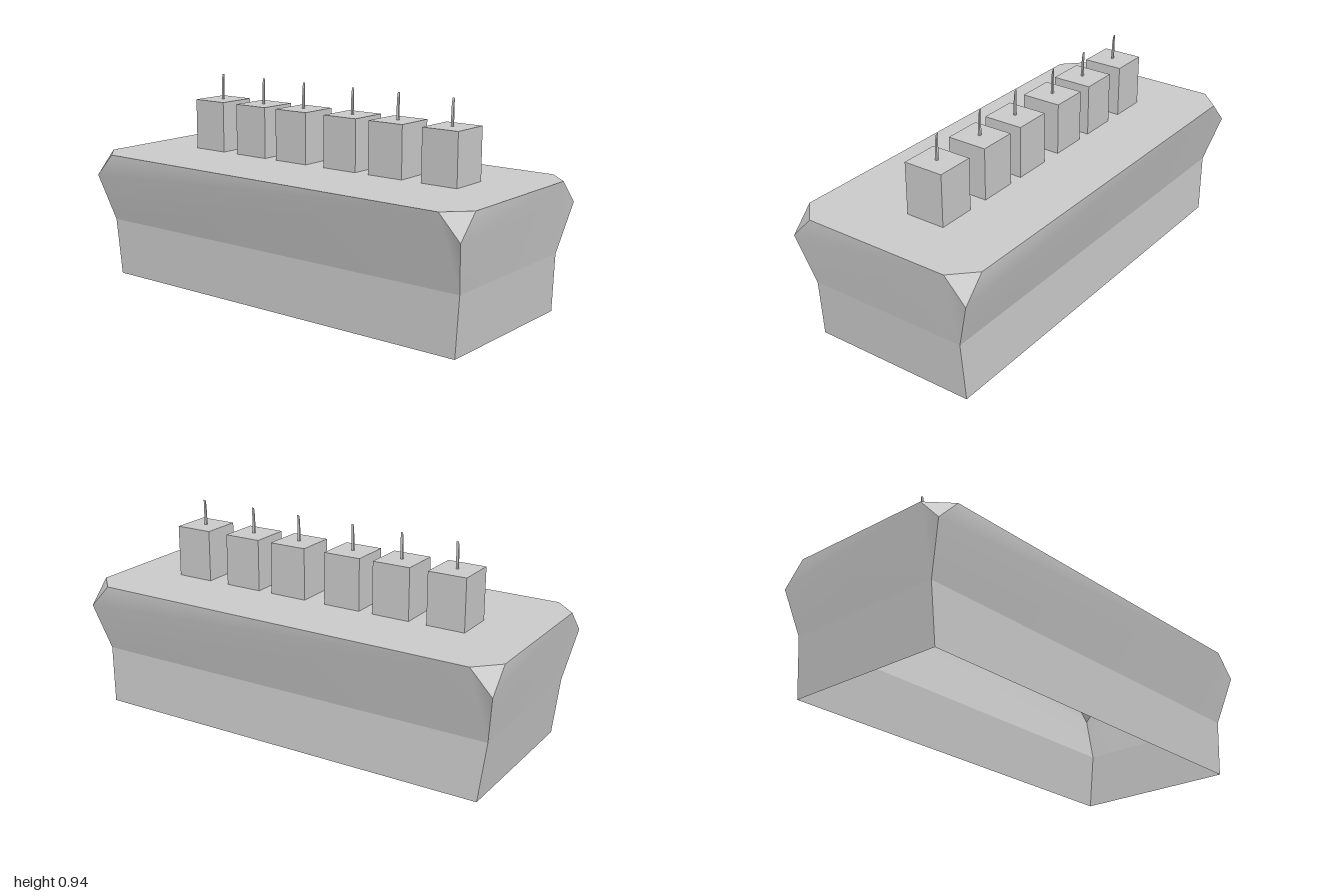
import * as THREE from 'three';

const material = new THREE.MeshStandardMaterial({ color: 0xcccccc, side: THREE.DoubleSide });

// A panel with its own vertices: smooth inside, sharp against its neighbours.
function panel(name, corners) {
  const geometry = new THREE.BufferGeometry();
  geometry.setAttribute('position', new THREE.Float32BufferAttribute(corners.flat(), 3));
  const index = [];
  for (let i = 1; i < corners.length - 1; i++) index.push(0, i, i + 1);
  geometry.setIndex(index);
  geometry.computeVertexNormals();
  const mesh = new THREE.Mesh(geometry, material);
  mesh.name = name;
  return mesh;
}

// Four corners, counter-clockwise seen from above, starting at front left of the page.
const ring = (y, x0, x1, z0, z1) => [[x0, y, z1], [x1, y, z1], [x1, y, z0], [x0, y, z0]];

// Hollow base: open underneath, pinched waist, flared top with cut corners.
function createBase() {
  const base = new THREE.Group();
  base.name = 'base';
  const foot = ring(0, -0.375, 0.388, -0.93, 0.945);
  const waist = ring(0.26, -0.375, 0.375, -0.96, 0.96);
  const rim = ring(0.48, -0.442, 0.442, -1, 1);
  const top = ring(0.585, -0.442, 0.442, -1, 1);
  const cut = 0.1;
  const toward = (a, b) => {
    const from = new THREE.Vector3(...a);
    const step = new THREE.Vector3(...b).sub(from).setLength(cut);
    return from.add(step).toArray();
  };
  const lid = [];
  for (let i = 0; i < 4; i++) {
    const j = (i + 1) % 4, h = (i + 3) % 4;
    const start = toward(top[i], top[j]);
    const end = toward(top[j], top[i]);
    const before = toward(top[i], top[h]);
    lid.push(before, start);
    base.add(panel('lowerWall', [foot[i], foot[j], waist[j], waist[i]]));
    base.add(panel('upperWall', [end, start, rim[i], waist[i], waist[j], rim[j]]));
    base.add(panel('cutCorner', [rim[i], start, before]));
  }
  base.add(panel('lid', lid));
  return base;
}

// Square block with a thin wick whose tip leans to one side.
function createCandle(z) {
  const candle = new THREE.Group();
  candle.name = 'candle';
  const block = new THREE.Mesh(new THREE.BoxGeometry(0.183, 0.233, 0.174), material);
  block.name = 'candleBlock';
  block.position.y = 0.1165;

  const outline = new THREE.Shape();
  outline.moveTo(-0.005, 0);
  outline.lineTo(0.004, 0);
  outline.lineTo(0.005, 0.117);
  outline.quadraticCurveTo(-0.001, 0.108, -0.003, 0.06);
  outline.closePath();
  const wickShape = new THREE.ExtrudeGeometry(outline, { depth: 0.01, bevelEnabled: false, curveSegments: 5 });
  wickShape.translate(0, 0, -0.005);
  const wick = new THREE.Mesh(wickShape, material);
  wick.name = 'wick';
  wick.position.y = 0.233;

  candle.add(block, wick);
  candle.position.set(0.0315, 0.585, z);
  return candle;
}

export function createModel() {
  const model = new THREE.Group();
  model.name = 'candleBox';
  model.add(createBase());
  for (const z of [0.65, 0.378, 0.136, -0.14, -0.379, -0.636]) model.add(createCandle(z));
  return model;
}
